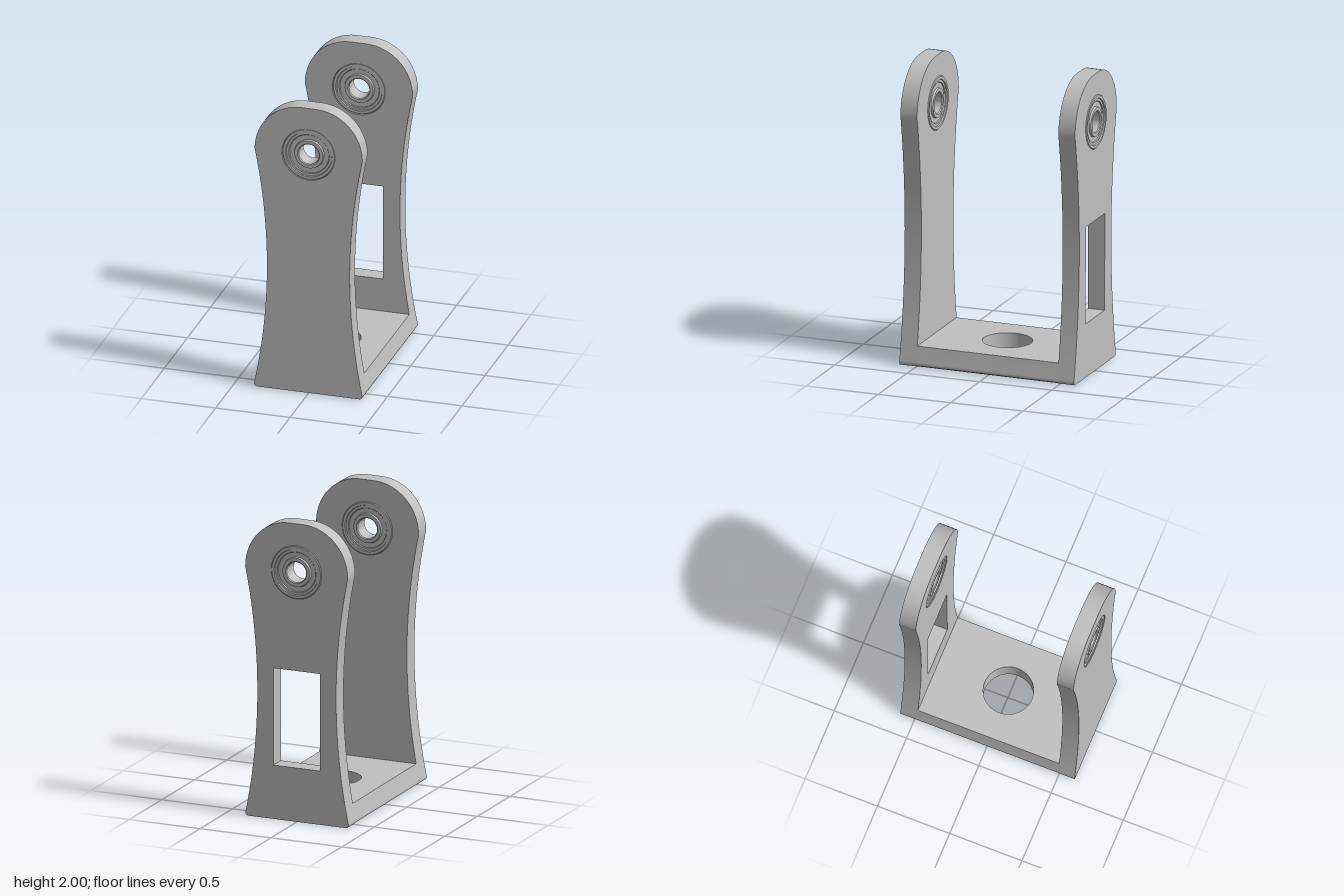
import * as THREE from 'three';
import { toCreasedNormals } from 'three/addons/utils/BufferGeometryUtils.js';

const AXLE_Y = 1.67, TOP = 1.995, BASE_H = 0.135;
const INNER = 0.488, OUTER = 0.603, EDGE = 0.025;

// Half width of the bracket at height y: rounded foot, waisted sides, round head
function halfWidth(y) {
  if (y > AXLE_Y) {
    const k = (y - AXLE_Y) / (TOP - AXLE_Y);
    return 0.05 + 0.312 * Math.sqrt(Math.max(0, 1 - k * k));
  }
  const s = (y - 0.85) / 0.82;
  let w = 0.278 + 0.084 * s * s;
  if (y < EDGE) w -= EDGE - Math.sqrt(EDGE * EDGE - (EDGE - y) ** 2);
  return w;
}

// Front outline of an upright, with the bearing seat and an optional window
function uprightShape(hasWindow) {
  const heights = [];
  for (let i = 0; i < 6; i++) heights.push(EDGE * (1 - Math.cos(i * Math.PI / 12)));
  for (let i = 0; i <= 40; i++) heights.push(EDGE + (AXLE_Y - EDGE) * i / 40);
  for (let i = 1; i <= 16; i++) heights.push(AXLE_Y + (TOP - AXLE_Y) * Math.sin(i * Math.PI / 32));
  const side = heights.map(y => new THREE.Vector2(halfWidth(y), y));
  const mirrored = side.map(p => new THREE.Vector2(-p.x, p.y)).reverse();
  const shape = new THREE.Shape([...side, ...mirrored]);
  shape.holes.push(new THREE.Path().absarc(0, AXLE_Y, 0.178, 0, Math.PI * 2, true));
  if (hasWindow) {
    const w = 0.165, lo = 0.36, hi = 1.01;
    shape.holes.push(new THREE.Path([[-w, lo], [-w, hi], [w, hi], [w, lo]].map(p => new THREE.Vector2(...p))));
  }
  return shape;
}

// Base slab with a round hole; its long sides follow the bracket outline
function baseGeometry() {
  const x = 0.35, z = INNER;
  const shape = new THREE.Shape([[-x, -z], [x, -z], [x, z], [-x, z]].map(p => new THREE.Vector2(...p)));
  shape.holes.push(new THREE.Path().absarc(0, 0, 0.162, 0, Math.PI * 2, true));
  const geo = new THREE.ExtrudeGeometry(shape, { depth: BASE_H, steps: 16, bevelEnabled: false, curveSegments: 32 });
  geo.rotateX(-Math.PI / 2);
  const pos = geo.attributes.position;
  for (let i = 0; i < pos.count; i++) {
    if (Math.abs(pos.getX(i)) > 0.3) pos.setX(i, Math.sign(pos.getX(i)) * halfWidth(Math.max(0, pos.getY(i))));
  }
  return toCreasedNormals(geo, 0.6);
}

// Ball bearing: outer race, sunken shield and inner race turned as one ring
function bearingGeometry() {
  const h = (OUTER - INNER) / 2;
  const upper = [
    [0.179, h - 0.006], [0.173, h], [0.155, h], [0.152, h - 0.008], [0.136, h - 0.008],
    [0.132, h - 0.014], [0.1, h - 0.014], [0.096, h], [0.074, h], [0.068, h - 0.006],
  ];
  const lower = upper.map(([r, y]) => [r, -y]).reverse();
  const pts = [...upper, ...lower, upper[0]].map(p => new THREE.Vector2(...p));
  const geo = new THREE.LatheGeometry(pts, 48);
  geo.rotateX(Math.PI / 2);
  return toCreasedNormals(geo, 0.5);
}

export function createModel() {
  const model = new THREE.Group();
  model.name = 'bracket';
  const metal = new THREE.MeshStandardMaterial({ color: 0xc0c0c0 });
  metal.name = 'light grey metal';
  const add = (name, geo, y = 0, z = 0) => {
    const mesh = new THREE.Mesh(geo, metal);
    mesh.name = name;
    mesh.position.set(0, y, z);
    model.add(mesh);
  };

  add('base', baseGeometry());

  // Two uprights, each holding a bearing set slightly toward the back
  const bearing = bearingGeometry();
  for (const [label, z, hasWindow] of [['front', INNER, false], ['back', -OUTER, true]]) {
    const geo = new THREE.ExtrudeGeometry(uprightShape(hasWindow), { depth: OUTER - INNER, bevelEnabled: false, curveSegments: 32 });
    add(label + 'Upright', toCreasedNormals(geo, 0.5), 0, z);
    add(label + 'Bearing', bearing, AXLE_Y, z + (OUTER - INNER) / 2 - 0.005);
  }

  // The whole bracket leans back very slightly
  model.rotation.x = -0.0045;
  model.position.set(0, 0.003, 0.0045);
  const root = new THREE.Group();
  root.add(model);
  return root;
}
